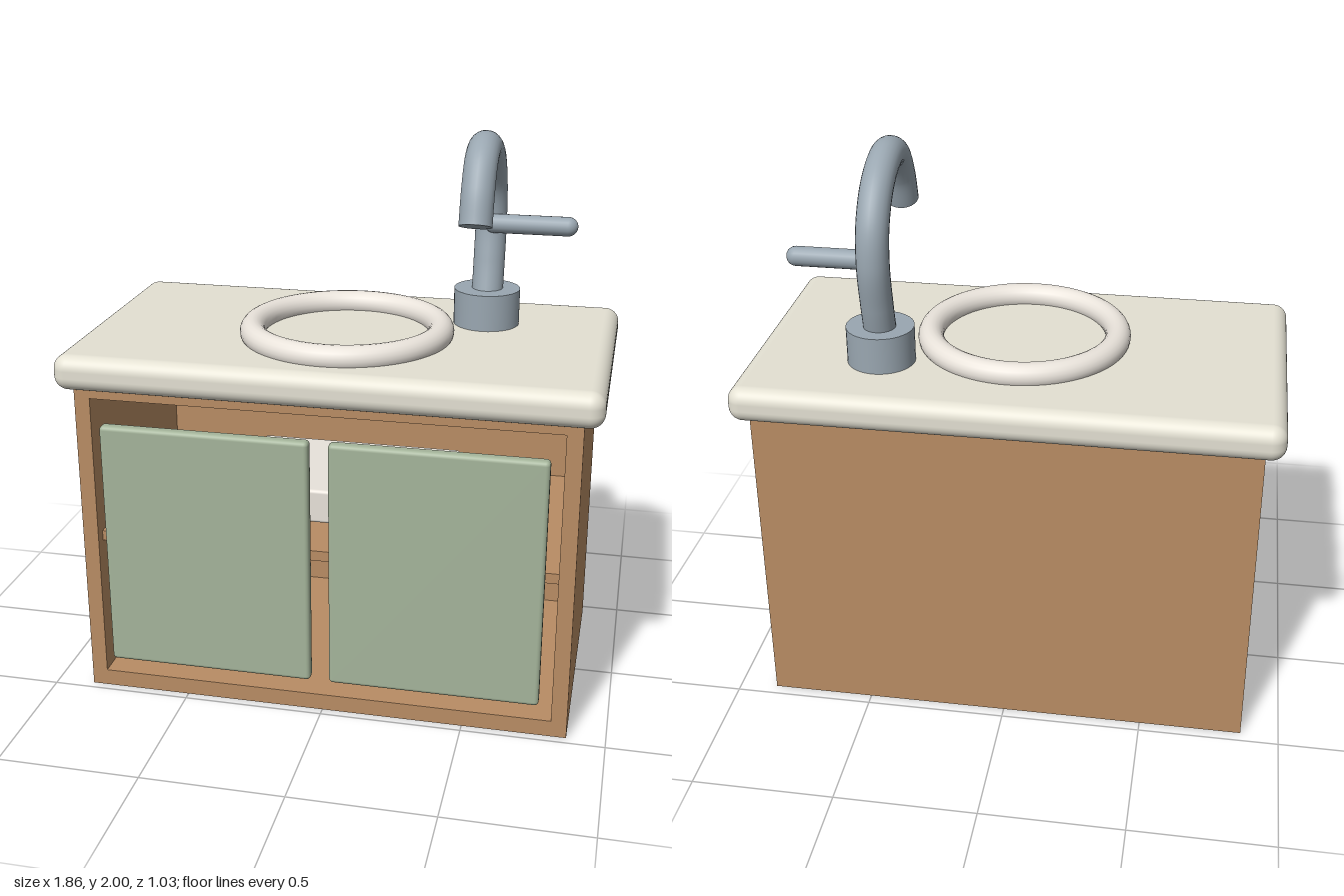
import * as THREE from 'three';
import { RoundedBoxGeometry } from 'three/addons/geometries/RoundedBoxGeometry.js';

const material = (color) => new THREE.MeshStandardMaterial({ color });

export function createModel() {
  const model = new THREE.Group();
  const wood = material(0xb98d64);
  const stone = material(0xe4e1d3);
  const ceramic = material(0xe9e3db);
  const green = material(0xa5b59b);
  const metal = material(0x9aa7b1);
  const blue = material(0x7fb0d4);

  const add = (name, geometry, mat, x, y, z, parent = model) => {
    const mesh = new THREE.Mesh(geometry, mat);
    mesh.name = name;
    mesh.position.set(x, y, z);
    parent.add(mesh);
    return mesh;
  };

  // Cabinet: open front frame with a closed back
  const cabinet = new THREE.Group();
  cabinet.name = 'cabinet';
  model.add(cabinet);
  const rect = (path, x, y0, y1) =>
    path.moveTo(-x, y0).lineTo(x, y0).lineTo(x, y1).lineTo(-x, y1).closePath();
  const outline = rect(new THREE.Shape(), 0.865, 0, 1.17);
  outline.holes.push(rect(new THREE.Path(), 0.81, 0.06, 1.12));
  add('cabinetCarcass', new THREE.ExtrudeGeometry(outline, { depth: 0.88, bevelEnabled: false }), wood, 0, 0, -0.41, cabinet);
  add('backPanel', new THREE.BoxGeometry(1.73, 1.17, 0.05), wood, 0, 0.585, -0.435, cabinet);
  add('shelf', new THREE.BoxGeometry(1.62, 0.037, 0.84), wood, 0, 0.586, 0.01, cabinet);

  // Doors mounted in front of the frame
  for (const [name, side] of [['leftDoor', 1], ['rightDoor', -1]]) {
    add(name, new RoundedBoxGeometry(0.733, 0.9, 0.046, 3, 0.015), green, side * 0.4, 0.588, 0.492);
  }

  // Things inside the cabinet
  add('basinBox', new RoundedBoxGeometry(0.76, 0.125, 0.49, 3, 0.012), ceramic, 0, 0.697, 0.025);
  add('drainPipe', new THREE.CylinderGeometry(0.023, 0.023, 0.43, 20), blue, -0.003, 0.367, 0.05);

  // Countertop with rounded edges and the sink rim
  add('countertop', new RoundedBoxGeometry(1.858, 0.125, 1.03, 6, 0.05), stone, 0, 1.213, 0);
  add('sinkRim', new THREE.TorusGeometry(0.333, 0.045, 20, 72).rotateX(Math.PI / 2), ceramic, 0, 1.295, 0.047);

  // Faucet: base, gooseneck spout and side lever
  const faucet = new THREE.Group();
  faucet.name = 'faucet';
  faucet.position.set(0.463, 0, 0);
  model.add(faucet);
  add('faucetBase', new THREE.CylinderGeometry(0.118, 0.118, 0.135, 40), metal, 0, 1.338, -0.198, faucet);

  const path = new THREE.CatmullRomCurve3([
    [1.37, -0.195], [1.5, -0.228], [1.65, -0.252], [1.78, -0.23], [1.89, -0.143],
    [1.945, 0], [1.918, 0.095], [1.83, 0.162], [1.72, 0.203],
  ].map(([y, z]) => new THREE.Vector3(0, y, z)));
  add('spout', new THREE.TubeGeometry(path, 64, 0.056, 24), metal, 0, 0, 0, faucet);

  // Flat cap at the spout outlet
  const outlet = add('spoutOutlet', new THREE.CircleGeometry(0.056, 24), metal, 0, 0, 0, faucet);
  const end = path.getPointAt(1);
  outlet.position.copy(end);
  outlet.lookAt(end.clone().add(path.getTangentAt(1)).add(faucet.position));

  add('lever', new THREE.CapsuleGeometry(0.034, 0.262, 8, 20).rotateZ(Math.PI / 2), metal, 0.147, 1.642, -0.198, faucet);

  return model;
}
